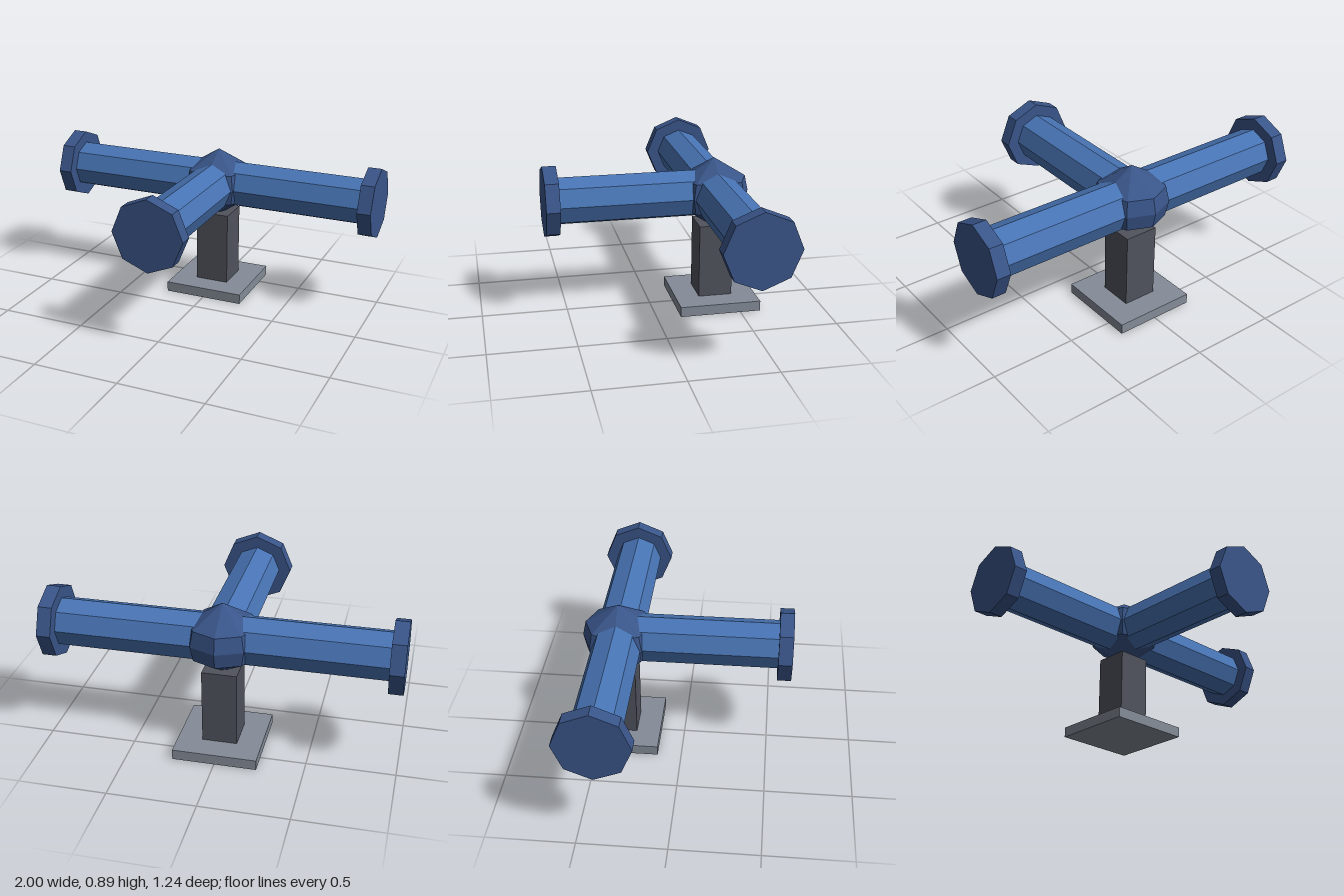
import * as THREE from 'three';

const CY = 0.68, CZ = -0.38; // junction centre

function mat(name, color) {
  const m = new THREE.MeshStandardMaterial({ color, flatShading: true });
  m.name = name;
  return m;
}

export function createModel() {
  const model = new THREE.Group();
  const pipeBlue = mat('pipe blue', 0x4874b4);
  const fittingBlue = mat('dark fitting blue', 0x395589);
  const postGrey = mat('dark post grey', 0x50535d);
  const baseGrey = mat('base grey', 0x848c98);

  const add = (name, geometry, material, x, y, z) => {
    const mesh = new THREE.Mesh(geometry, material);
    mesh.name = name;
    mesh.position.set(x, y, z);
    model.add(mesh);
    return mesh;
  };

  // Octagonal rod from the junction outwards, along x or z
  const rod = (name, radius, from, to, axis, material) => {
    const g = new THREE.CylinderGeometry(radius, radius, Math.abs(to - from), 8);
    const mid = (from + to) / 2;
    if (axis === 'x') g.rotateZ(Math.PI / 2);
    else g.rotateX(Math.PI / 2);
    add(name, g, material, axis === 'x' ? mid : 0, CY, axis === 'x' ? CZ : CZ + mid);
  };

  // Stand
  add('basePlate', new THREE.BoxGeometry(0.48, 0.06, 0.48), baseGrey, 0, 0.03, CZ);
  add('post', new THREE.BoxGeometry(0.2, 0.44, 0.2), postGrey, 0, 0.28, CZ);

  // Through pipe and front branch
  rod('mainPipe', 0.14, -0.92, 0.92, 'x', pipeBlue);
  rod('branchPipe', 0.14, 0, 0.92, 'z', pipeBlue);

  // End flanges
  rod('leftFlange', 0.21, 0.92, 1, 'x', fittingBlue);
  rod('rightFlange', 0.21, -1, -0.92, 'x', fittingBlue);
  rod('frontFlange', 0.21, 0.92, 1, 'z', fittingBlue);

  // Faceted hub with pointed top and bottom
  const profile = [[0, -0.21], [0.19, -0.09], [0.21, 0], [0.19, 0.09], [0, 0.21]]
    .map(([r, y]) => new THREE.Vector2(r, y));
  add('hub', new THREE.LatheGeometry(profile, 8), fittingBlue, 0, CY, CZ);

  return model;
}
